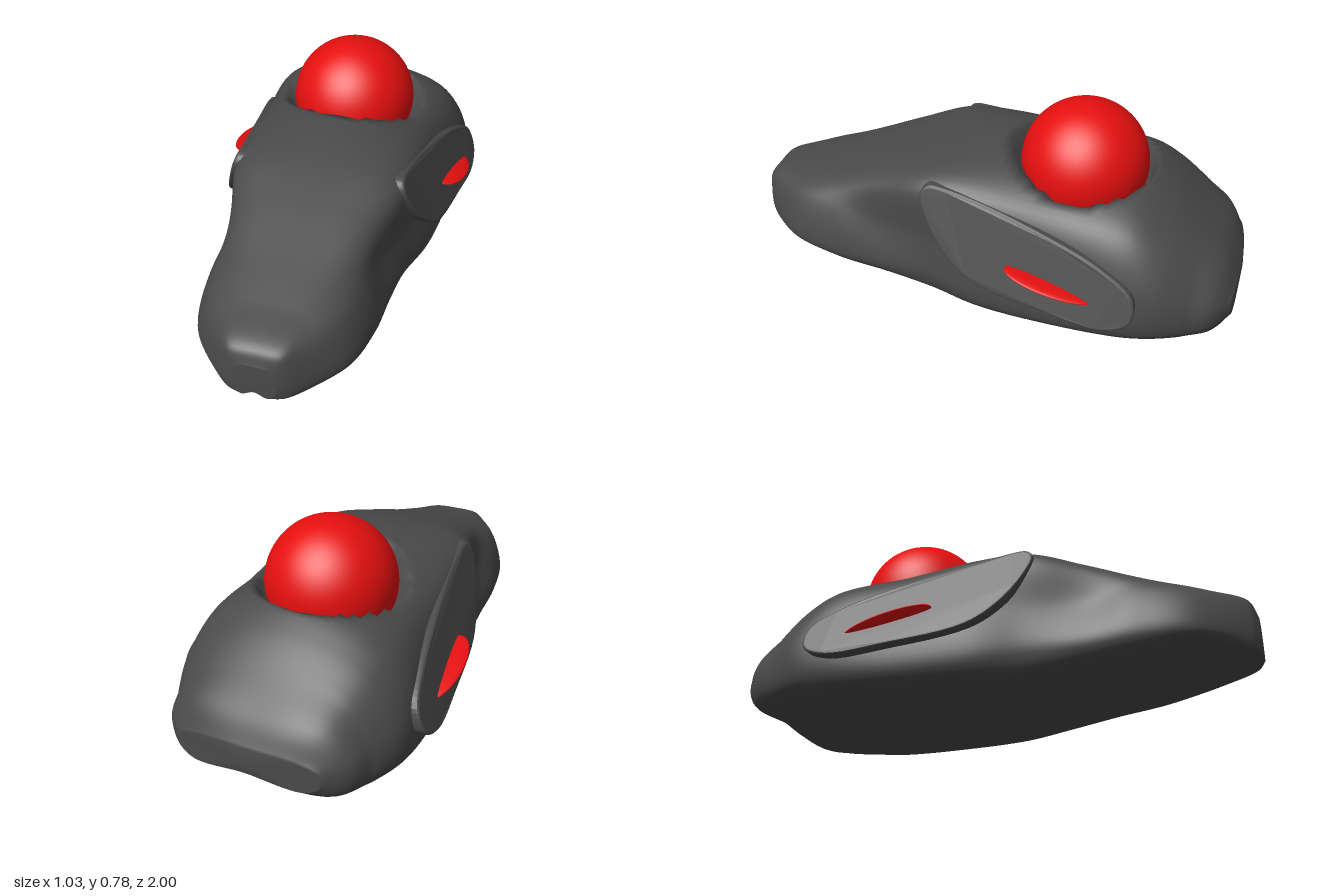
import * as THREE from 'three';

const charcoal = new THREE.MeshStandardMaterial({ color: 0x4a4a4a });
charcoal.name = 'charcoal';
const red = new THREE.MeshStandardMaterial({ color: 0xe60f0f });
red.name = 'red';

const BALL = new THREE.Vector3(0, 0.52, -0.345);

// Half sections from nose to tail:
// z, top y, ridge x y, shoulder x y, side x y, bottom x y
const sections = [
  [1.0, 0.25, 0.05, 0.245, 0.07, 0.21, 0.08, 0.15, 0.05, 0.11],
  [0.97, 0.305, 0.1, 0.295, 0.12, 0.25, 0.13, 0.14, 0.11, 0.1],
  [0.8, 0.36, 0.15, 0.345, 0.23, 0.3, 0.28, 0.13, 0.23, 0.095],
  [0.6, 0.425, 0.21, 0.395, 0.28, 0.315, 0.33, 0.12, 0.29, 0.07],
  [0.4, 0.495, 0.265, 0.45, 0.3, 0.28, 0.34, 0.1, 0.3, 0.045],
  [0.2, 0.555, 0.32, 0.5, 0.345, 0.27, 0.36, 0.09, 0.32, 0.02],
  [0.0, 0.59, 0.33, 0.5, 0.39, 0.28, 0.41, 0.06, 0.36, 0.004],
  [-0.3, 0.59, 0.33, 0.47, 0.415, 0.27, 0.44, 0.05, 0.39, 0.003],
  [-0.58, 0.55, 0.34, 0.45, 0.45, 0.24, 0.45, 0.055, 0.39, 0.006],
  [-0.7, 0.485, 0.32, 0.405, 0.44, 0.22, 0.435, 0.06, 0.37, 0.013],
  [-0.82, 0.385, 0.28, 0.335, 0.385, 0.2, 0.39, 0.065, 0.34, 0.02],
  [-0.94, 0.275, 0.25, 0.26, 0.35, 0.17, 0.345, 0.08, 0.3, 0.035],
  [-0.995, 0.19, 0.19, 0.18, 0.27, 0.15, 0.27, 0.1, 0.22, 0.07],
];

// Smooth hull lofted through the sections, with a round well for the ball
function hullGeometry() {
  const N = 120, M = 96;
  const rail = (fn) => new THREE.CatmullRomCurve3(sections.map((s) => new THREE.Vector3(...fn(s), s[0])));
  const half = [2, 4, 6, 8].map((k) => rail((s) => [s[k], s[k + 1]]));
  const top = rail((s) => [0, s[1]]);
  const keel = rail((s) => [0, s[9] + 0.018]);
  const pos = [], idx = [];
  for (let i = 0; i <= N; i++) {
    const t = i / N;
    const right = half.map((r) => r.getPoint(t));
    const left = right.map((p) => new THREE.Vector3(-p.x, p.y, p.z)).reverse();
    const loop = new THREE.CatmullRomCurve3([top.getPoint(t), ...right, keel.getPoint(t), ...left], true);
    for (let j = 0; j < M; j++) {
      const p = loop.getPoint(j / M);
      if (p.y > 0.3) {
        const r = Math.hypot(p.x - BALL.x, p.z - BALL.z);
        p.y -= 0.1 * (1 - THREE.MathUtils.smoothstep(r, 0.245, 0.285));
      }
      // bowed tail
      if (p.z < -0.8) p.z += 0.3 * p.x * p.x * Math.min(1, (-0.8 - p.z) / 0.15);
      pos.push(p.x, p.y, p.z);
    }
  }
  for (let i = 0; i < N; i++) {
    for (let j = 0; j < M; j++) {
      const a = i * M + j, b = i * M + (j + 1) % M;
      idx.push(a, b, a + M, b, b + M, a + M);
    }
  }
  // nose and tail caps
  const nose = pos.length / 3;
  pos.push(0, 0.18, 1, 0, 0.13, -1);
  for (let j = 0; j < M; j++) {
    const k = (j + 1) % M;
    idx.push(nose, k, j, nose + 1, N * M + j, N * M + k);
  }
  const g = new THREE.BufferGeometry();
  g.setAttribute('position', new THREE.Float32BufferAttribute(pos, 3));
  g.setIndex(idx);
  g.computeVertexNormals();
  return g;
}

// Leaf-shaped side button, leaning with the hull side
const leaf = [
  [0.2, 0.515], [0.1, 0.51], [-0.25, 0.425], [-0.5, 0.335], [-0.62, 0.25], [-0.62, 0.16],
  [-0.52, 0.115], [-0.3, 0.135], [0.0, 0.19], [0.12, 0.28], [0.2, 0.4], [0.225, 0.48],
];
function sidePanelGeometry(s) {
  const outline = new THREE.CatmullRomCurve3(leaf.map(([z, y]) => new THREE.Vector3(-s * z, y, 0)), true);
  const shape = new THREE.Shape(outline.getPoints(72).slice(0, -1).map((p) => new THREE.Vector2(p.x, p.y)));
  const g = new THREE.ExtrudeGeometry(shape, {
    depth: 0.035, bevelEnabled: true, bevelThickness: 0.01, bevelSize: 0.01, bevelOffset: -0.01, bevelSegments: 3,
  });
  g.translate(0, 0, -0.035);
  g.rotateY(s * Math.PI / 2);
  const p = g.attributes.position;
  for (let i = 0; i < p.count; i++) {
    const lean = 0.325 + 0.34 * (0.51 - p.getY(i)) + 0.05 * THREE.MathUtils.smoothstep(-p.getZ(i), -0.2, 0.7);
    p.setX(i, p.getX(i) + s * lean);
  }
  g.computeVertexNormals();
  return g;
}

export function createModel() {
  const model = new THREE.Group();
  model.name = 'trackball';
  const add = (name, geometry, material) => {
    const m = new THREE.Mesh(geometry, material);
    m.name = name;
    model.add(m);
    return m;
  };

  add('hull', hullGeometry(), charcoal);
  add('ball', new THREE.SphereGeometry(0.25, 64, 40), red).position.copy(BALL);

  const unit = new THREE.SphereGeometry(1, 40, 24);
  for (const [side, s] of [['left', 1], ['right', -1]]) {
    add(side + 'Panel', sidePanelGeometry(s), charcoal);

    // thin fin standing out of the side panel
    const fin = add(side + 'Fin', unit, red);
    fin.scale.set(0.07, 0.013, 0.18);
    fin.position.set(s * 0.445, 0.24, -0.31);
    fin.rotation.x = -0.23;

    // finger rest under the side panel
    const rest = add(side + 'Rest', unit, charcoal);
    rest.scale.set(0.045, 0.05, 0.36);
    rest.position.set(s * 0.385, 0.115, -0.18);
    rest.rotation.x = -0.06;
    rest.rotation.y = -s * 0.12;
  }
  return model;
}
